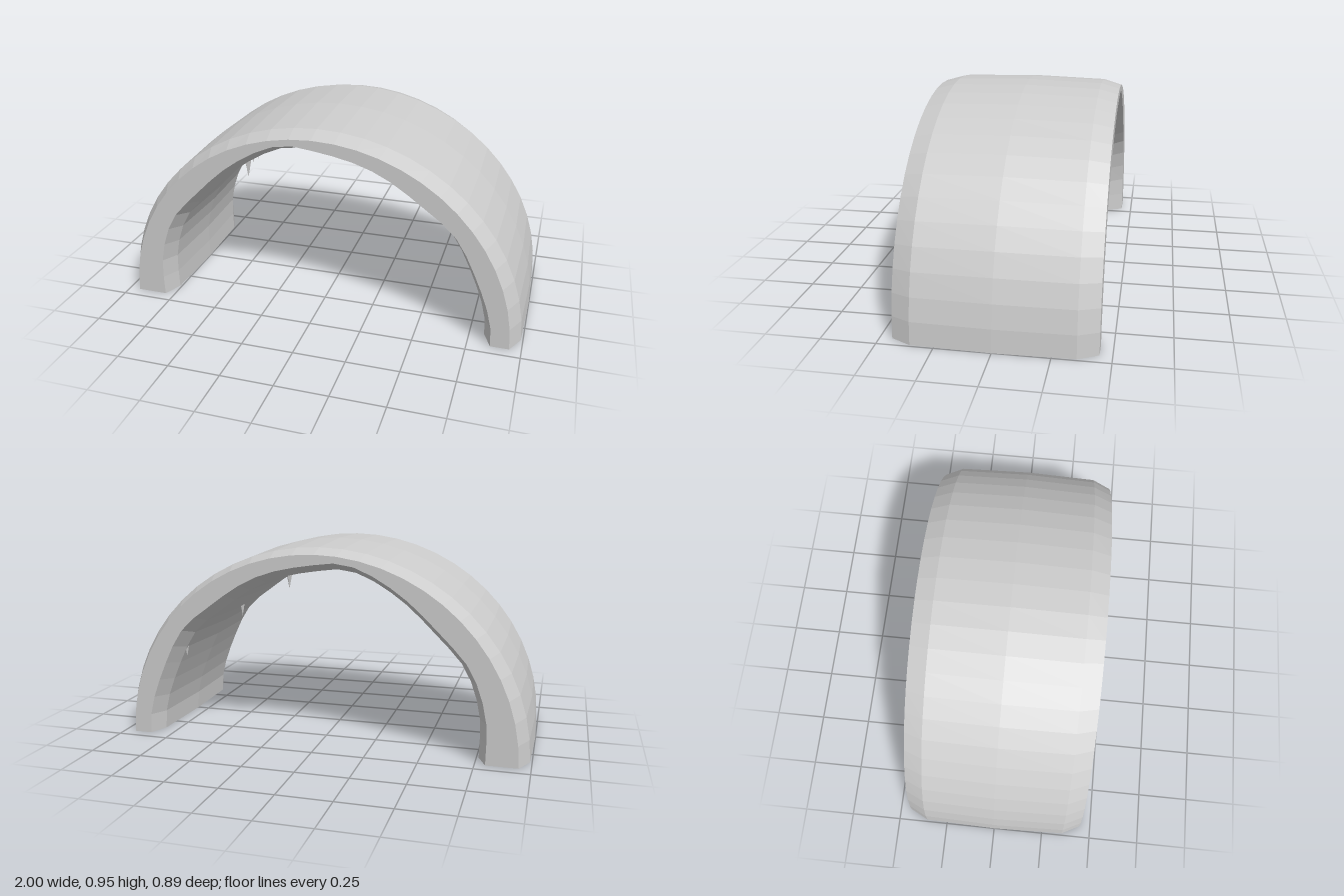
import * as THREE from 'three';

const SEGMENTS = 28;

// Inner wall outline, from the left foot (+x) over the crown to the right foot
const innerOutline = [
  [0.81, 0], [0.80, 0.12], [0.71, 0.36], [0.625, 0.51], [0.49, 0.62], [0.33, 0.73],
  [0.2, 0.785], [0, 0.825], [-0.12, 0.835], [-0.23, 0.80], [-0.39, 0.70], [-0.55, 0.55],
  [-0.67, 0.42], [-0.72, 0.31], [-0.75, 0.18], [-0.75, 0],
];

// Cross-section loop: [z, kind, x size and y size of the outer ellipse, or inner offset]
const section = [
  [-0.355, 'outer', 0.99, 0.945], [0, 'outer', 1, 0.955], [0.355, 'outer', 0.99, 0.945],
  [0.445, 'outer', 0.945, 0.92], [0.445, 'inner', 0.048], [0.355, 'inner', 0.01],
  [0, 'inner', 0], [-0.355, 'inner', 0.01], [-0.445, 'inner', 0.048], [-0.445, 'outer', 0.945, 0.92],
];

function archGeometry() {
  const curve = new THREE.CatmullRomCurve3(innerOutline.map(([x, y]) => new THREE.Vector3(x, y, 0)));
  const count = section.length;
  const positions = [];
  const index = [];
  for (let i = 0; i <= SEGMENTS; i++) {
    const angle = (i / SEGMENTS) * Math.PI;
    const p = curve.getPointAt(i / SEGMENTS);
    const radius = Math.hypot(p.x, p.y);
    for (const [z, kind, a, b] of section) {
      if (kind === 'outer') {
        positions.push(a * Math.cos(angle), Math.max(0, b * Math.sin(angle)), z);
      } else {
        const s = 1 + a / radius;
        positions.push(p.x * s, Math.max(0, p.y * s), z);
      }
    }
  }
  // Walls
  for (let i = 0; i < SEGMENTS; i++) {
    for (let j = 0; j < count; j++) {
      const k = (j + 1) % count;
      const a = i * count + j, b = a + count, c = (i + 1) * count + k, d = i * count + k;
      index.push(a, b, c, a, c, d);
    }
  }
  // Flat undersides of the two feet
  const last = SEGMENTS * count;
  for (let j = 1; j < count - 1; j++) {
    index.push(0, j, j + 1, last, last + j + 1, last + j);
  }
  const indexed = new THREE.BufferGeometry();
  indexed.setAttribute('position', new THREE.Float32BufferAttribute(positions, 3));
  indexed.setIndex(index);
  const geometry = indexed.toNonIndexed();
  geometry.computeVertexNormals();
  return geometry;
}

export function createModel() {
  const group = new THREE.Group();
  group.name = 'rockTunnel';
  const stone = new THREE.MeshStandardMaterial({ color: 0xcccccc, flatShading: true });
  stone.name = 'grey stone';

  const arch = new THREE.Mesh(archGeometry(), stone);
  arch.name = 'archShell';
  group.add(arch);

  // Hanging spikes, placed by their tips and rooted in the ceiling
  const tips = [
    [0.26, 0.69, -0.03], [-0.155, 0.765, 0.02], [-0.355, 0.70, 0.2], [-0.445, 0.61, 0.05],
    [-0.41, 0.60, 0.2], [0.555, 0.52, 0.05], [0.66, 0.48, 0.2], [0.695, 0.38, -0.34],
  ];
  const height = 0.13;
  const spike = new THREE.ConeGeometry(0.026, height, 4);
  spike.rotateX(Math.PI);
  spike.translate(0, height / 2, 0);
  spike.scale(1, 1, 1.8);
  tips.forEach(([x, y, z], i) => {
    const mesh = new THREE.Mesh(spike, stone);
    mesh.name = `stalactite${i + 1}`;
    mesh.position.set(x, y, z);
    group.add(mesh);
  });
  return group;
}
